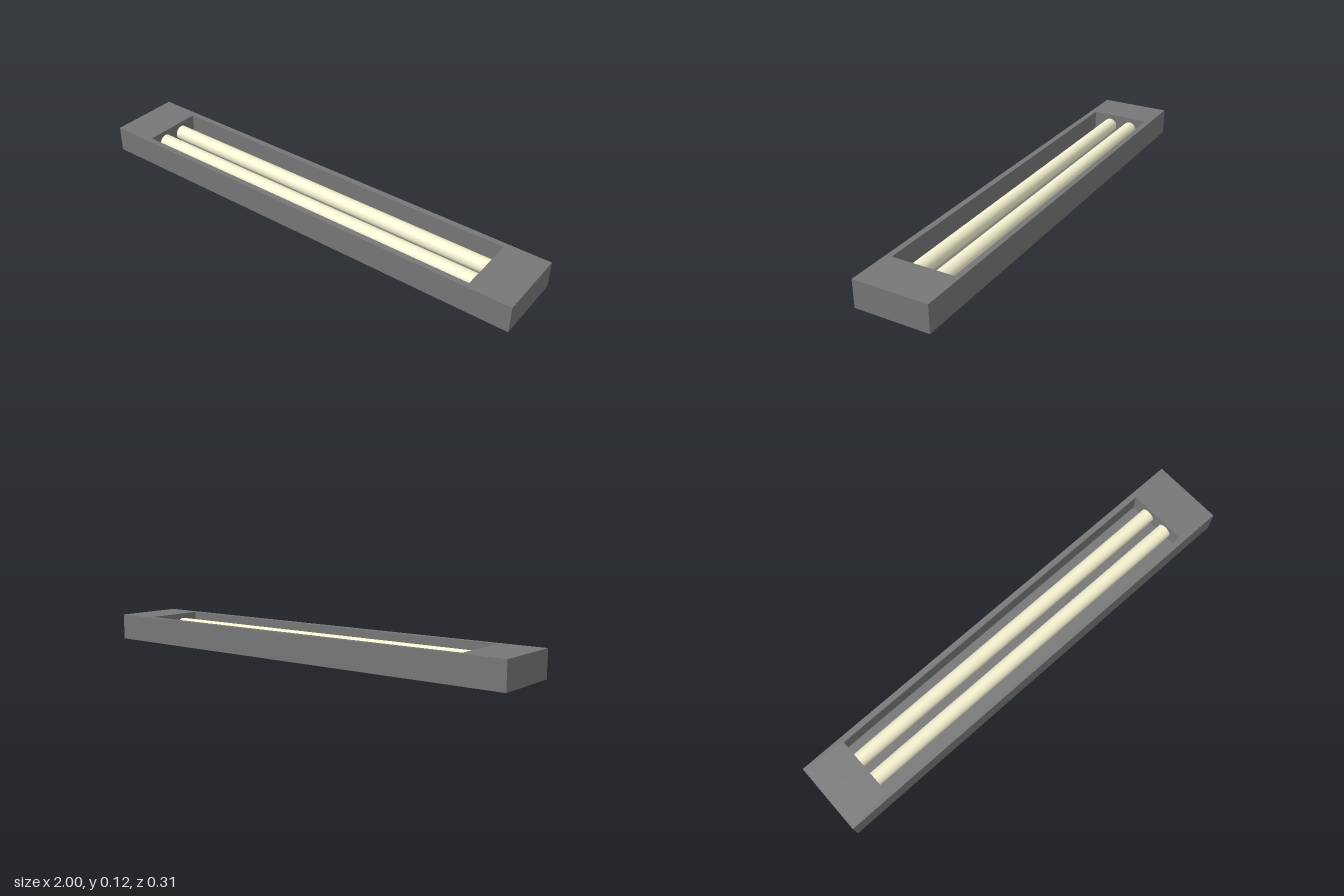
import * as THREE from 'three';

const HEIGHT = 0.115, FLOOR = 0.025;
const OUTER = [1, 0.157], INNER = [0.815, 0.132]; // half length, half depth

// Open tray: rectangular loops from the underside, over the rim, down to the recess floor
function trayGeometry() {
  const loops = [[OUTER, 0], [OUTER, HEIGHT], [INNER, HEIGHT], [INNER, FLOOR]];
  const corners = [[1, 1], [1, -1], [-1, -1], [-1, 1]];
  const pos = [], idx = [];
  for (const [[hx, hz], y] of loops)
    for (const [sx, sz] of corners) pos.push(sx * hx, y, sz * hz);
  for (let k = 0; k < loops.length - 1; k++) {
    for (let i = 0; i < 4; i++) {
      const a = k * 4 + i, b = k * 4 + (i + 1) % 4;
      idx.push(a, b, b + 4, a, b + 4, a + 4);
    }
  }
  idx.push(0, 2, 1, 0, 3, 2);       // underside
  idx.push(12, 13, 14, 12, 14, 15); // recess floor
  const indexed = new THREE.BufferGeometry();
  indexed.setAttribute('position', new THREE.Float32BufferAttribute(pos, 3));
  indexed.setIndex(idx);
  const geometry = indexed.toNonIndexed();
  geometry.computeVertexNormals();
  return geometry;
}

export function createModel() {
  const group = new THREE.Group();
  group.name = 'lightFixture';

  const housing = new THREE.Mesh(trayGeometry(), new THREE.MeshStandardMaterial({ color: 0x777777 }));
  housing.name = 'housing';
  group.add(housing);

  // Two lamp tubes spanning the recess from end wall to end wall
  const tubeGeometry = new THREE.CylinderGeometry(0.032, 0.032, INNER[0] * 2, 32).rotateZ(Math.PI / 2);
  const tubeMaterial = new THREE.MeshStandardMaterial({ color: 0xf5f2d0 });
  for (const side of [-1, 1]) {
    const tube = new THREE.Mesh(tubeGeometry, tubeMaterial);
    tube.name = side > 0 ? 'frontTube' : 'backTube';
    tube.position.set(0, 0.062, side * 0.051);
    group.add(tube);
  }
  return group;
}
